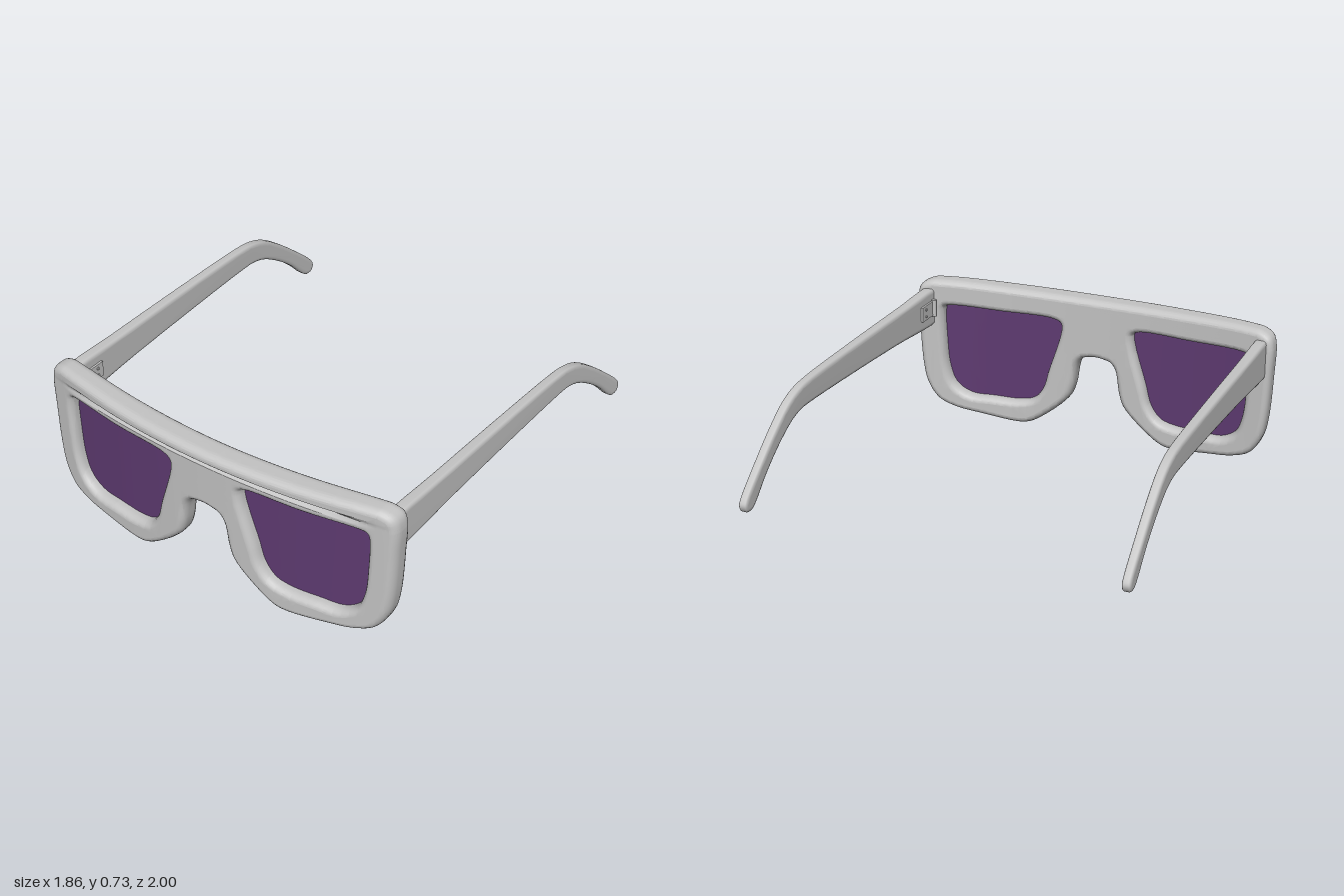
import * as THREE from 'three';
import { mergeVertices } from 'three/addons/utils/BufferGeometryUtils.js';

const grey = new THREE.MeshStandardMaterial({ color: 0xc4c4c4 });
grey.name = 'frame grey';
const purple = new THREE.MeshStandardMaterial({ color: 0x5f3b72, side: THREE.DoubleSide });
purple.name = 'lens purple';

// Smooth closed outline through a few clockwise points, returned anticlockwise
function outline(points, divisions) {
  const curve = new THREE.CatmullRomCurve3(points.map(([x, y]) => new THREE.Vector3(x, y, 0)), true, 'centripetal');
  return curve.getPoints(divisions).slice(0, -1).map((p) => new THREE.Vector2(p.x, p.y)).reverse();
}

const mirrorX = (points) => points.map(([x, y]) => [-x, y]).reverse();

// Cut every triangle along the plane axis = value, so the surface can be bent
function cut(triangles, axis, value) {
  const out = [];
  for (const tri of triangles) {
    const side = tri.map((p) => (Math.abs(p[axis] - value) < 1e-6 ? 0 : Math.sign(p[axis] - value)));
    if (!side.includes(1) || !side.includes(-1)) { out.push(tri); continue; }
    for (const keep of [1, -1]) {
      const poly = [];
      for (let i = 0; i < 3; i++) {
        const j = (i + 1) % 3, a = tri[i], b = tri[j];
        if (side[i] !== -keep) poly.push(a);
        if (side[i] * side[j] < 0) {
          const t = (value - a[axis]) / (b[axis] - a[axis]);
          poly.push(a.map((c, k) => (k === axis ? value : c + (b[k] - c) * t)));
        }
      }
      for (let i = 1; i + 1 < poly.length; i++) out.push([poly[0], poly[i], poly[i + 1]]);
    }
  }
  return out;
}

// Weld the corners and give the surface soft normals
function smooth(geometry) {
  geometry.deleteAttribute('normal');
  geometry.deleteAttribute('uv');
  const merged = mergeVertices(geometry, 1e-4);
  merged.computeVertexNormals();
  return merged;
}

// Slice a geometry finely and move its points by a rule
function bend(source, rule, ySlices = []) {
  const geometry = source.index ? source.toNonIndexed() : source;
  const pos = geometry.attributes.position;
  let triangles = [];
  for (let i = 0; i < pos.count; i += 3) {
    triangles.push([0, 1, 2].map((k) => [pos.getX(i + k), pos.getY(i + k), pos.getZ(i + k)]));
  }
  for (const y of ySlices) triangles = cut(triangles, 1, y);
  for (let i = -22; i <= 22; i++) triangles = cut(triangles, 0, i * 0.04);
  const result = new THREE.BufferGeometry();
  const flat = triangles.flatMap((tri) => tri.flatMap(rule));
  result.setAttribute('position', new THREE.Float32BufferAttribute(flat, 3));
  return smooth(result);
}

const frontZ = (x) => 0.98 - 0.095 * (x / 0.92) ** 2;

// Wrap curve, with a protruding brow and a tapering groove under it
function wrapFrame([x, y, z]) {
  let push = 0;
  if (z > -0.06) {
    const brow = THREE.MathUtils.clamp((y - 0.648) / 0.02, 0, 1);
    const groove = Math.max(0, 1 - Math.abs(y - 0.648) / 0.02);
    push = 0.02 * brow * Math.max(0, 1 - (x / 0.92) ** 2)
      - 0.03 * groove * Math.max(0, 1 - (x / 0.84) ** 2);
  }
  return [x, y, frontZ(x) + z + push];
}

const halfRim = [
  [0.4, 0.716], [0.8, 0.725], [0.865, 0.72], [0.91, 0.695], [0.926, 0.645], [0.922, 0.5], [0.907, 0.27],
  [0.885, 0.17], [0.83, 0.085], [0.74, 0.043], [0.6, 0.02], [0.42, 0], [0.36, 0.007], [0.29, 0.045],
  [0.15, 0.17], [0.122, 0.24], [0.1, 0.36], [0.075, 0.395], [0.04, 0.405],
];
const opening = [
  [0.21, 0.577], [0.5, 0.586], [0.76, 0.592], [0.79, 0.585], [0.798, 0.555], [0.795, 0.42], [0.78, 0.26],
  [0.745, 0.17], [0.67, 0.122], [0.55, 0.117], [0.41, 0.117], [0.335, 0.138], [0.285, 0.2], [0.255, 0.3],
  [0.187, 0.555],
];

function makeFrame() {
  const rim = [[0, 0.711], ...halfRim, [0, 0.41], ...mirrorX(halfRim)];
  const shape = new THREE.Shape(outline(rim, 180));
  for (const hole of [opening, mirrorX(opening)]) shape.holes.push(new THREE.Path(outline(hole, 80)));
  const geometry = new THREE.ExtrudeGeometry(shape, {
    depth: 0.03, bevelThickness: 0.04, bevelSize: 0.03, bevelOffset: -0.03, bevelSegments: 5,
  });
  geometry.translate(0, 0, -0.07);
  return new THREE.Mesh(bend(geometry, wrapFrame, [0.628, 0.638, 0.648, 0.658, 0.668]), grey);
}

function makeLens(side) {
  const points = side > 0 ? opening : mirrorX(opening);
  // Slightly oversized so its edge sits inside the rim
  const grown = points.map(([x, y]) => [(x - side * 0.5) * 1.03 + side * 0.5, (y - 0.36) * 1.03 + 0.36]);
  const geometry = new THREE.ShapeGeometry(new THREE.Shape(outline(grown, 60)));
  return new THREE.Mesh(bend(geometry, ([x, y]) => [x, y, frontZ(x) - 0.055]), purple);
}

// Side profile of a temple as [z, y]
const templeProfile = [
  [0.815, 0.675], [0.5, 0.674], [0, 0.668], [-0.4, 0.657], [-0.5, 0.645], [-0.6, 0.61], [-0.72, 0.53],
  [-0.86, 0.415], [-0.985, 0.3], [-1, 0.27], [-0.985, 0.24], [-0.945, 0.237], [-0.91, 0.26], [-0.82, 0.35],
  [-0.7, 0.445], [-0.58, 0.515], [-0.5, 0.537], [-0.42, 0.541], [0, 0.531], [0.4, 0.515], [0.815, 0.495],
  [0.82, 0.505], [0.82, 0.665],
];

function makeTemple(side) {
  const shape = new THREE.Shape(outline(templeProfile.map(([z, y]) => [-z, y]), 115));
  const geometry = new THREE.ExtrudeGeometry(shape, {
    depth: 0.03, bevelThickness: 0.015, bevelSize: 0.018, bevelOffset: -0.018, bevelSegments: 4,
  });
  geometry.translate(0, 0, -0.015);
  geometry.rotateY(Math.PI / 2);
  // Thinner and slightly further out towards the tip
  const pos = geometry.attributes.position;
  for (let i = 0; i < pos.count; i++) {
    const t = (0.8 - pos.getZ(i)) / 1.8;
    pos.setX(i, side * (0.866 + 0.027 * t) + pos.getX(i) * (1 - 0.3 * t));
  }
  return new THREE.Mesh(smooth(geometry), grey);
}

// Hinge plate with barrel and two screws inside each temple
function makeHinge(side) {
  const hinge = new THREE.Group();
  const plate = new THREE.Mesh(new THREE.BoxGeometry(0.014, 0.075, 0.11), grey);
  plate.name = 'hingePlate';
  plate.position.set(side * 0.835, 0.59, 0.705);
  const barrel = new THREE.Mesh(new THREE.CylinderGeometry(0.012, 0.012, 0.085, 12), grey);
  barrel.name = 'hingeBarrel';
  barrel.position.set(side * 0.825, 0.59, 0.768);
  hinge.add(plate, barrel);
  for (const y of [0.572, 0.608]) {
    const screw = new THREE.Mesh(new THREE.CylinderGeometry(0.007, 0.007, 0.006, 10), grey);
    screw.name = 'hingeScrew';
    screw.rotation.z = Math.PI / 2;
    screw.position.set(side * 0.826, y, 0.685);
    hinge.add(screw);
  }
  return hinge;
}

export function createModel() {
  const glasses = new THREE.Group();
  glasses.name = 'glasses';
  const add = (part, name) => {
    part.name = name;
    glasses.add(part);
  };
  add(makeFrame(), 'frontFrame');
  for (const [side, label] of [[1, 'left'], [-1, 'right']]) {
    add(makeLens(side), label + 'Lens');
    add(makeTemple(side), label + 'Temple');
    add(makeHinge(side), label + 'Hinge');
  }
  return glasses;
}
